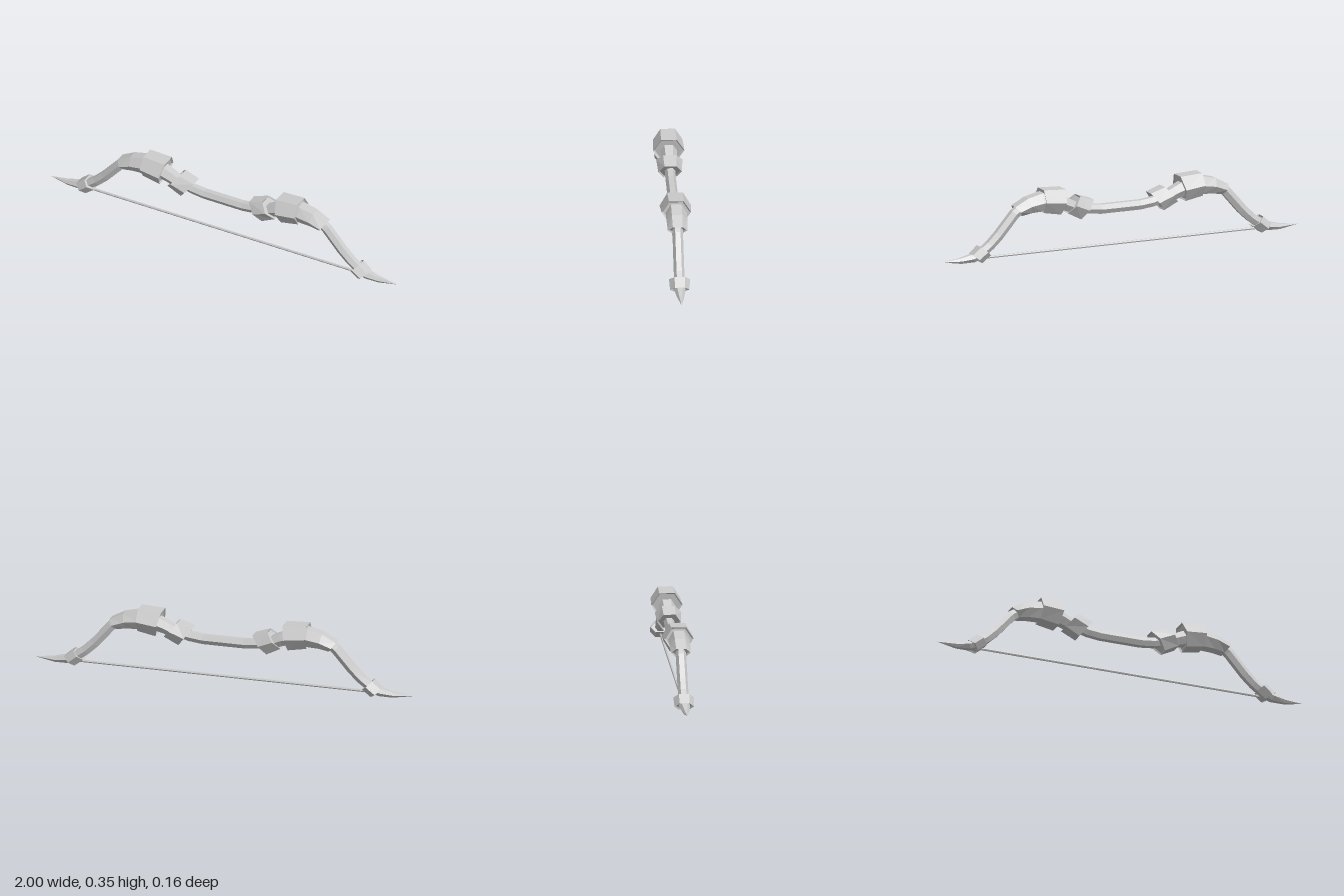
import * as THREE from 'three';

const material = new THREE.MeshStandardMaterial({ color: 0xcccccc, flatShading: true });

// Hexagon with flat top and bottom: [z factor, height factor]
const HEX = [[0.5, 1], [1, 0], [0.5, -1], [-0.5, -1], [-1, 0], [-0.5, 1]];

// Loft hexagons along sections [x, y, tilt in degrees, half height, half width],
// ordered by growing x; side = -1 mirrors the part in x.
function loft(name, sections, side = 1) {
  const pos = [];
  const rings = sections.map(([x, y, tilt, h, w]) => {
    const a = THREE.MathUtils.degToRad(tilt);
    return HEX.map(([kz, kh]) => [side * (x + Math.sin(a) * h * kh), y + Math.cos(a) * h * kh, w * kz]);
  });
  const tri = (a, b, c) => pos.push(...(side > 0 ? [a, b, c] : [a, c, b]).flat());
  for (let i = 0; i < rings.length - 1; i++) {
    for (let j = 0; j < 6; j++) {
      const k = (j + 1) % 6;
      const [a, b, c, d] = [rings[i][j], rings[i][k], rings[i + 1][k], rings[i + 1][j]];
      tri(a, b, c);
      tri(a, c, d);
    }
  }
  // end caps
  const first = rings[0], last = rings[rings.length - 1];
  for (let j = 1; j < 5; j++) {
    tri(first[0], first[j + 1], first[j]);
    tri(last[0], last[j], last[j + 1]);
  }
  const geometry = new THREE.BufferGeometry();
  geometry.setAttribute('position', new THREE.Float32BufferAttribute(pos, 3));
  geometry.computeVertexNormals();
  const mesh = new THREE.Mesh(geometry, material);
  mesh.name = name;
  return mesh;
}

// Sunken ends with a narrow rim, for the collars and the thick limb
function rimmed(sections) {
  const sunk = ([x, y, tilt, h, w], [x2, y2]) => {
    const t = 0.008 / Math.hypot(x2 - x, y2 - y);
    return [x + (x2 - x) * t, y + (y2 - y) * t, tilt, h - 0.007, w - 0.008];
  };
  return [sunk(sections[0], sections[1]), ...sections, sunk(sections.at(-1), sections.at(-2))];
}

// Parts of one half of the bow, from the grip outwards
const HALF = {
  gripCollar: rimmed([[0.197, 0.221, -38, 0.06, 0.06], [0.275, 0.254, -41, 0.054, 0.067]]),
  neck: [[0.25, 0.23, -35, 0.03, 0.035], [0.31, 0.257, -24, 0.033, 0.04], [0.36, 0.275, -12, 0.038, 0.045]],
  shoulderCollar: rimmed([[0.337, 0.277, -12, 0.066, 0.08], [0.448, 0.289, -1, 0.059, 0.075]]),
  upperLimb: rimmed([[0.4, 0.283, -5, 0.046, 0.054], [0.45, 0.283, 0, 0.047, 0.054],
    [0.52, 0.272, 13, 0.04, 0.053], [0.583, 0.248, 36, 0.031, 0.05]]),
  lowerLimb: [[0.56, 0.258, 34, 0.025, 0.027], [0.595, 0.234, 44, 0.025, 0.027],
    [0.685, 0.131, 49, 0.025, 0.027], [0.735, 0.083, 46, 0.024, 0.027], [0.79, 0.043, 42, 0.023, 0.027]],
  tipCollar: rimmed([[0.768, 0.061, 49, 0.036, 0.053], [0.815, 0.023, 50, 0.035, 0.05]]),
  tip: [[0.79, 0.041, 45, 0.022, 0.03], [0.835, 0.026, 28, 0.022, 0.028],
    [0.9, 0.018, 8, 0.014, 0.018], [1, 0.02, 0, 0.0005, 0.0005]],
};

export function createModel() {
  const bow = new THREE.Group();
  bow.name = 'bow';

  // Grip runs across the middle
  const grip = [[0.04, 0.211, 0], [0.11, 0.211, -4], [0.18, 0.219, -15], [0.25, 0.239, -36]]
    .map(([x, y, t]) => [x, y, t, 0.024, 0.027]);
  const mirrored = grip.map(([x, y, t, h, w]) => [-x, y, -t, h, w]).reverse();
  bow.add(loft('grip', [...mirrored, ...grip]));

  // Both limbs
  for (const side of [1, -1]) {
    const limb = new THREE.Group();
    limb.name = side > 0 ? 'leftLimb' : 'rightLimb';
    for (const [name, sections] of Object.entries(HALF)) limb.add(loft(name, sections, side));
    bow.add(limb);
  }

  // String between the tip collars
  bow.add(loft('bowString', [[-0.79, 0.022, 0, 0.006, 0.006], [0.79, 0.022, 0, 0.006, 0.006]]));
  return bow;
}
